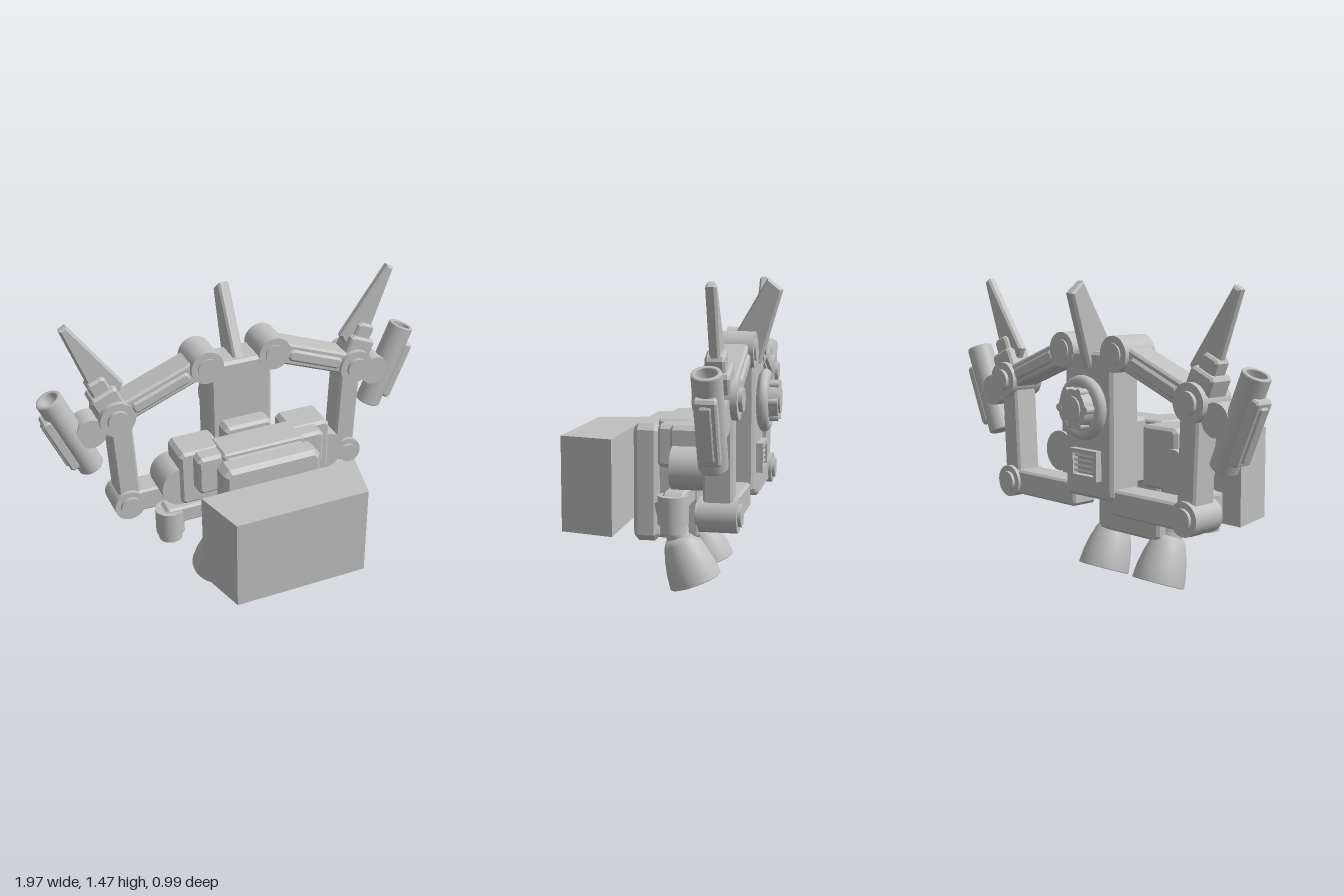
import * as THREE from 'three';

const gray = new THREE.MeshStandardMaterial({ color: 0xc0c0c0 });
gray.name = 'plain gray';

const ZC = -0.3; // depth centre of the arm assembly

// Plate in the xy plane, bevelled on both faces, total thickness d, centred on z = 0
function plate(points, d, b = 0.01) {
  const shape = new THREE.Shape(points.map(p => new THREE.Vector2(p[0], p[1])));
  const g = new THREE.ExtrudeGeometry(shape, {
    depth: d - 2 * b, bevelEnabled: true, bevelThickness: b, bevelSize: b, bevelOffset: -b, bevelSegments: 1,
  });
  return g.translate(0, 0, b - d / 2);
}

// Box with chamfered edges
function chamferBox(w, h, d, c = 0.015) {
  const x = w / 2, y = h / 2;
  return plate([[x, c - y], [x, y - c], [x - c, y], [c - x, y], [-x, y - c], [-x, c - y], [c - x, -y], [x - c, -y]], d, c * 0.7);
}

const cylZ = (r, d, n = 32) => new THREE.CylinderGeometry(r, r, d, n).rotateX(Math.PI / 2);

// Lathe from [radius, y] points, with hard edges between segments
function turned(points, n = 32) {
  const pts = [];
  points.forEach((p, i) => {
    pts.push(new THREE.Vector2(p[0], p[1]));
    if (i > 0 && i < points.length - 1 && p[2]) pts.push(new THREE.Vector2(p[0] + 1e-4, p[1]));
  });
  return new THREE.LatheGeometry(pts, n);
}

export function createModel() {
  const model = new THREE.Group();
  model.name = 'mechanicalPack';

  function add(name, geo, x = 0, y = 0, z = 0, parent = model) {
    const m = new THREE.Mesh(geo, gray);
    m.name = name;
    m.position.set(x, y, z);
    parent.add(m);
    return m;
  }

  // Bar running between two points of the arm plane
  function bar(name, a, b, w, d, parent, z = ZC) {
    const dx = b[0] - a[0], dy = b[1] - a[1];
    const m = add(name, chamferBox(w, Math.hypot(dx, dy), d), (a[0] + b[0]) / 2, (a[1] + b[1]) / 2, z, parent);
    m.rotation.z = Math.atan2(-dx, dy);
    return m;
  }

  // Separate front block, narrowing towards the front
  const block = new THREE.BoxGeometry(0.79, 0.455, 0.26);
  const p = block.attributes.position;
  for (let i = 0; i < p.count; i++) if (p.getZ(i) > 0) p.setX(i, p.getX(i) * 0.835);
  block.computeVertexNormals();
  add('frontBlock', block, 0, 0.5275, 0.365);

  // Torso
  add('chestSlab', chamferBox(0.5, 0.56, 0.12, 0.03), 0, 0.53, 0.11);
  add('torso', chamferBox(0.42, 0.55, 0.22, 0.02), 0, 0.535, -0.03);
  add('torsoLid', chamferBox(0.42, 0.04, 0.17, 0.012), 0, 0.81, -0.03);
  add('neckBlock', chamferBox(0.25, 0.32, 0.1, 0.02), 0, 0.69, -0.175);

  // Rear column with fin
  add('rearColumn', chamferBox(0.32, 0.68, 0.175, 0.02), 0, 0.82, ZC);
  const fin = plate([[-0.24, 1.16], [-0.25, 1.1], [-0.395, 1.08], [-0.495, 1.425], [-0.425, 1.48]], 0.055, 0.01);
  fin.rotateY(-Math.PI / 2); // profile x becomes depth
  add('centreFin', fin);

  // Rear wheel with bolted hub
  const wheel = new THREE.Group();
  wheel.name = 'rearWheel';
  wheel.position.set(0, 0.905, -0.39);
  wheel.rotation.x = -Math.PI / 2;
  model.add(wheel);
  add('wheelRim', turned([[0.1, 0], [0.125, 0], [0.145, 0.012], [0.15, 0.025], [0.145, 0.042], [0.13, 0.055], [0.11, 0.055], [0.1, 0.045], [0, 0.045]], 40), 0, 0, 0, wheel);
  add('wheelHub', new THREE.CylinderGeometry(0.09, 0.095, 0.06, 32), 0, 0.065, 0, wheel);
  add('hubCap', new THREE.CylinderGeometry(0.06, 0.06, 0.01, 32), 0, 0.098, 0, wheel);
  for (let i = 0; i < 6; i++) {
    const a = i * Math.PI / 3;
    add('hubBolt', new THREE.CylinderGeometry(0.018, 0.018, 0.06, 12), 0.088 * Math.cos(a), 0.066, 0.088 * Math.sin(a), wheel);
  }

  // Rear vent: frame with slats
  const frame = new THREE.Shape([[-0.09, -0.07], [0.09, -0.07], [0.09, 0.07], [-0.09, 0.07]].map(q => new THREE.Vector2(...q)));
  frame.holes.push(new THREE.Path([[-0.07, -0.05], [-0.07, 0.05], [0.07, 0.05], [0.07, -0.05]].map(q => new THREE.Vector2(...q))));
  add('ventFrame', new THREE.ExtrudeGeometry(frame, { depth: 0.035, bevelEnabled: false }), 0, 0.64, -0.42);
  for (let i = 0; i < 4; i++) {
    add('ventSlat', new THREE.BoxGeometry(0.14, 0.01, 0.025), 0, 0.604 + i * 0.024, -0.399).rotation.x = 0.4;
  }

  for (const s of [1, -1]) {
    const side = new THREE.Group();
    side.name = s > 0 ? 'leftSide' : 'rightSide';
    model.add(side);

    // Shoulder blocks and drum
    add('shoulderBlock', chamferBox(0.22, 0.29, 0.18, 0.02), s * 0.285, 0.68, -0.125, side);
    add('shoulderPad', chamferBox(0.16, 0.2, 0.13, 0.02), s * 0.25, 0.72, -0.03, side);
    add('shoulderDrum', cylZ(0.1, 0.18), s * 0.385, 0.635, -0.14, side);

    // Small downward canister on a bracket
    add('canisterBracket', chamferBox(0.29, 0.09, 0.1, 0.015), s * 0.335, 0.49, -0.07, side);
    add('canister', new THREE.CylinderGeometry(0.07, 0.07, 0.13, 32), s * 0.45, 0.455, -0.065, side);
    add('canisterFoot', new THREE.CylinderGeometry(0.058, 0.058, 0.04, 32), s * 0.45, 0.37, -0.065, side);

    // Tilted thruster: hollow bell, neck ring and feed pipe
    const thruster = new THREE.Group();
    thruster.name = 'thruster';
    thruster.position.set(s * 0.19, 0.055, -0.12);
    thruster.rotation.x = 0.36;
    side.add(thruster);
    add('bell', turned([[0, 0.19], [0.05, 0.19], [0.09, 0.1], [0.115, 0.003], [0.122, 0], [0.127, 0.004],
      [0.12, 0.07], [0.105, 0.14], [0.085, 0.2], [0.068, 0.228], [0, 0.23]]), 0, 0, 0, thruster);
    add('neck', new THREE.CylinderGeometry(0.06, 0.06, 0.1, 32), 0, 0.27, 0, thruster);
    add('neckRing', new THREE.CylinderGeometry(0.068, 0.068, 0.035, 32), 0, 0.272, 0, thruster).rotation.x = -0.15;
    add('feedPipe', new THREE.CylinderGeometry(0.062, 0.066, 0.13, 32), 0, 0.36, 0.01, thruster).rotation.x = 0.12;

    // Joints: a drum with a raised cap on each face
    const shoulder = [s * 0.175, 1.157], elbow = [s * 0.63, 0.98], wrist = [s * 0.6, 0.475];
    const joint = (name, c, r, d, capR, capD) => {
      add(name, cylZ(r, d), c[0], c[1], ZC, side);
      add(name + 'Cap', cylZ(capR, capD), c[0], c[1], ZC, side);
    };
    joint('shoulderJoint', shoulder, 0.083, 0.185, 0.05, 0.2);
    joint('elbowJoint', elbow, 0.088, 0.18, 0.052, 0.215);
    joint('lowerJoint', wrist, 0.078, 0.17, 0.05, 0.2);

    // Arm bars
    bar('upperArm', shoulder, elbow, 0.11, 0.14, side);
    bar('upperArmStrip', [s * 0.26, 1.125], [s * 0.55, 1.01], 0.06, 0.165, side);
    bar('forearm', [s * 0.612, 0.95], [s * 0.592, 0.5], 0.11, 0.13, side);
    bar('lowerArm', [s * 0.12, 0.475], wrist, 0.12, 0.14, side);

    // Blade and its socket above the elbow
    bar('bladeSocket', [s * 0.635, 1.0], [s * 0.685, 1.115], 0.14, 0.125, side);
    bar('bladeCollar', [s * 0.66, 1.06], [s * 0.712, 1.18], 0.095, 0.085, side);
    const blade = [[0.57, 1.135], [0.815, 1.475], [0.85, 1.455], [0.715, 1.08], [0.64, 1.0]].map(q => [s * q[0], q[1]]);
    add('blade', plate(blade, 0.045, 0.01), 0, 0, ZC, side);

    // Outer hollow barrel with side plate, held by a round mount
    add('barrelMount', cylZ(0.075, 0.12), s * 0.755, 0.917, ZC, side);
    const barrel = new THREE.Group();
    barrel.name = 'barrel';
    barrel.position.set(s * 0.842, 0.912, ZC);
    barrel.rotation.z = -s * 0.4;
    side.add(barrel);
    add('barrelTube', turned([[0, -0.225], [0.058, -0.225], [0.064, -0.218], [0.064, 0.218], [0.06, 0.225],
      [0.047, 0.225], [0.045, 0.22], [0.045, 0.12], [0, 0.12]]), 0, 0, 0, barrel);
    add('barrelPlate', chamferBox(0.05, 0.31, 0.095, 0.012), s * 0.065, -0.012, 0, barrel);
    add('barrelRib', chamferBox(0.03, 0.26, 0.05, 0.008), s * 0.084, -0.012, 0, barrel);
  }
  return model;
}
